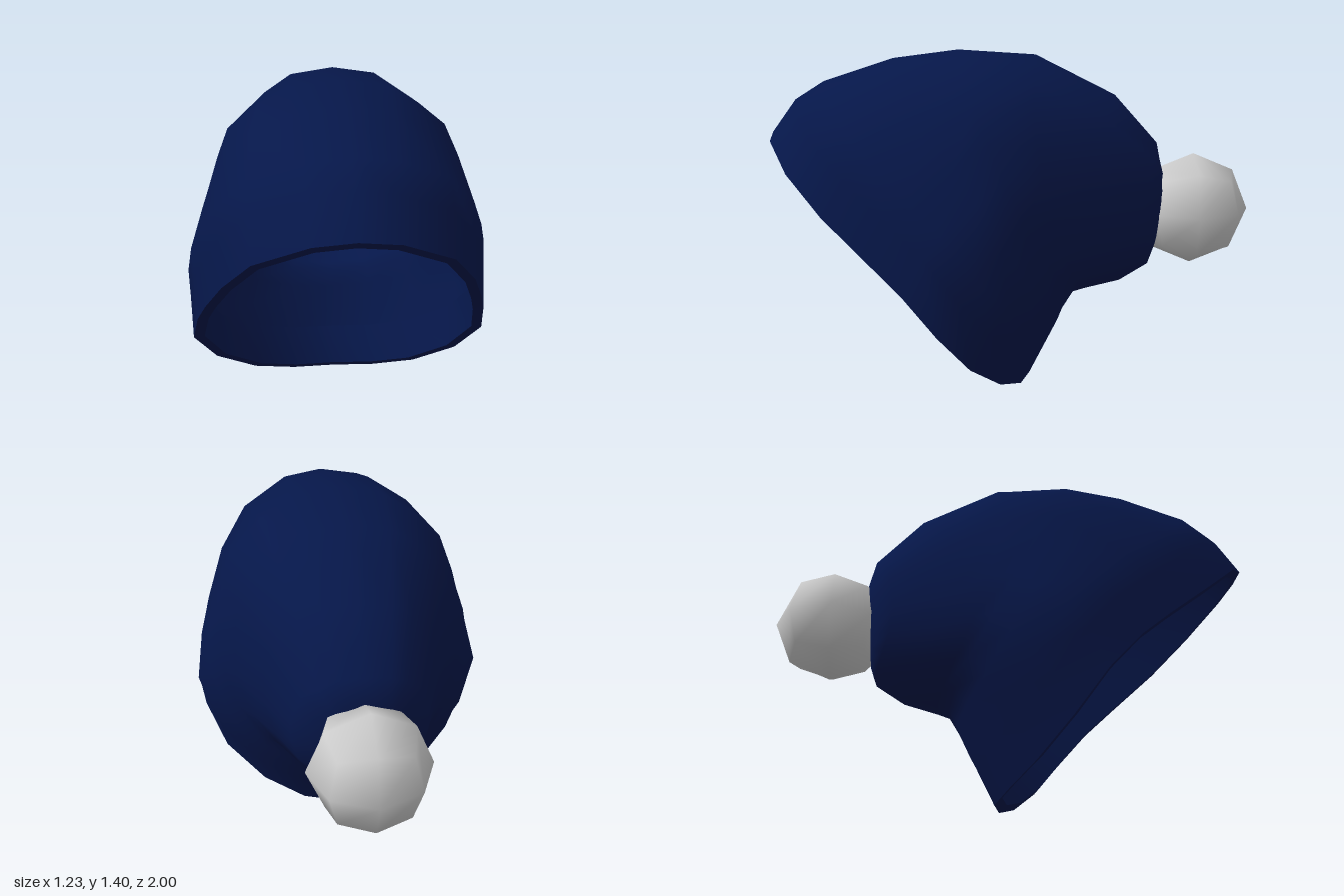
import * as THREE from 'three';

// Half outlines of a ring from top to bottom: half width share, share of the
// way down, forward shift. The opening is egg-shaped, the back square-shouldered.
const OPENING = [
  [0, 0, 0], [0.25, 0.02, 0], [0.58, 0.117, 0], [0.76, 0.258, 0], [0.88, 0.41, -0.02], [0.95, 0.52, -0.03],
  [1, 0.662, -0.01], [0.86, 0.81, 0.03], [0.59, 0.925, 0.04], [0.3, 0.983, 0.02], [0, 1, 0],
];
const BACK = [
  [0, 0, 0], [0.38, 0.025, 0], [0.62, 0.1, 0], [0.85, 0.2, 0], [0.94, 0.33, 0], [1, 0.46, 0],
  [1, 0.62, 0], [0.9, 0.78, 0], [0.66, 0.91, 0], [0.34, 0.98, 0], [0, 1, 0],
];
const HALF = OPENING.length - 1;
const SIDES = HALF * 2;

// Rings from the opening to the closed tip:
// top (z, y), bottom (z, y), half width, blend to BACK, forward bow of the sides
const RINGS = [
  [1.0, 1.065, -0.08, 0.0, 0.597, 0, 0],
  [0.9, 1.2, -0.155, 0.15, 0.606, 0.05, 0],
  [0.78, 1.275, -0.2, 0.24, 0.615, 0.15, 0],
  [0.49, 1.37, -0.235, 0.33, 0.56, 0.5, 0],
  [0.22, 1.405, -0.27, 0.4, 0.505, 1, 0.03],
  [-0.1, 1.385, -0.32, 0.41, 0.45, 1, 0.08],
  [-0.43, 1.22, -0.47, 0.44, 0.35, 1, 0.14],
  [-0.61, 1.02, -0.58, 0.51, 0.265, 1, 0.07],
  [-0.635, 0.9, -0.6, 0.58, 0.165, 1, 0.01],
  [-0.63, 0.75, -0.63, 0.73, 0.01, 1, 0],
];

// Points around one ring, pulled inwards by the given inset
function ringPoints([zt, yt, zb, yb, width, blend, bow], inset = 0) {
  const shrink = 1 - inset / (Math.hypot(zt - zb, yt - yb) / 2);
  const points = [];
  for (let j = 0; j < SIDES; j++) {
    const k = j <= HALF ? j : SIDES - j;
    const [x, s, dz] = OPENING[k].map((v, n) => THREE.MathUtils.lerp(v, BACK[k][n], blend));
    const down = 0.5 + (s - 0.5) * shrink;
    points.push(new THREE.Vector3(
      (j <= HALF ? x : -x) * (width - inset),
      THREE.MathUtils.lerp(yt, yb, down),
      THREE.MathUtils.lerp(zt, zb, down) + dz + bow * x * x,
    ));
  }
  return points;
}

// Smooth skin through a row of rings
function loft(rings) {
  const index = [];
  for (let i = 0; i < rings.length - 1; i++) {
    for (let j = 0; j < SIDES; j++) {
      const k = (j + 1) % SIDES;
      const a = i * SIDES + j, b = i * SIDES + k;
      const c = a + SIDES, d = b + SIDES;
      index.push(a, b, c, b, d, c);
    }
  }
  const geometry = new THREE.BufferGeometry().setFromPoints(rings.flat());
  geometry.setIndex(index);
  geometry.computeVertexNormals();
  return geometry;
}

// Ball made from a rounded-out cube
function ballGeometry(radius) {
  const geometry = new THREE.BoxGeometry(1, 1, 1, 2, 2, 2);
  const { position, normal } = geometry.attributes;
  const v = new THREE.Vector3();
  for (let i = 0; i < position.count; i++) {
    v.fromBufferAttribute(position, i).normalize();
    normal.setXYZ(i, v.x, v.y, v.z);
    position.setXYZ(i, v.x * radius, v.y * radius, v.z * radius);
  }
  return geometry;
}

export function createModel() {
  const model = new THREE.Group();
  model.name = 'bobbleHat';
  const cloth = new THREE.MeshStandardMaterial({ color: 0x06174a, side: THREE.DoubleSide });
  const wool = new THREE.MeshStandardMaterial({ color: 0xcccccc });

  const add = (name, geometry, material) => {
    const mesh = new THREE.Mesh(geometry, material);
    mesh.name = name;
    model.add(mesh);
    return mesh;
  };

  const shell = RINGS.map((ring) => ringPoints(ring));
  const hemFront = ringPoints(RINGS[0], 0.045);
  const hemBack = ringPoints(RINGS[1], 0.04);

  add('hatShell', loft(shell), cloth);

  // Turned-in hem around the opening
  add('hatRim', loft([hemFront, shell[0]]), cloth);
  add('hemBand', loft([hemBack, hemFront]), cloth);
  add('hemEdge', loft([shell[1], hemBack]), cloth);

  // Pompom seated in the tip
  add('pompom', ballGeometry(0.235), wool).position.set(0, 0.74, -0.765);

  return model;
}
